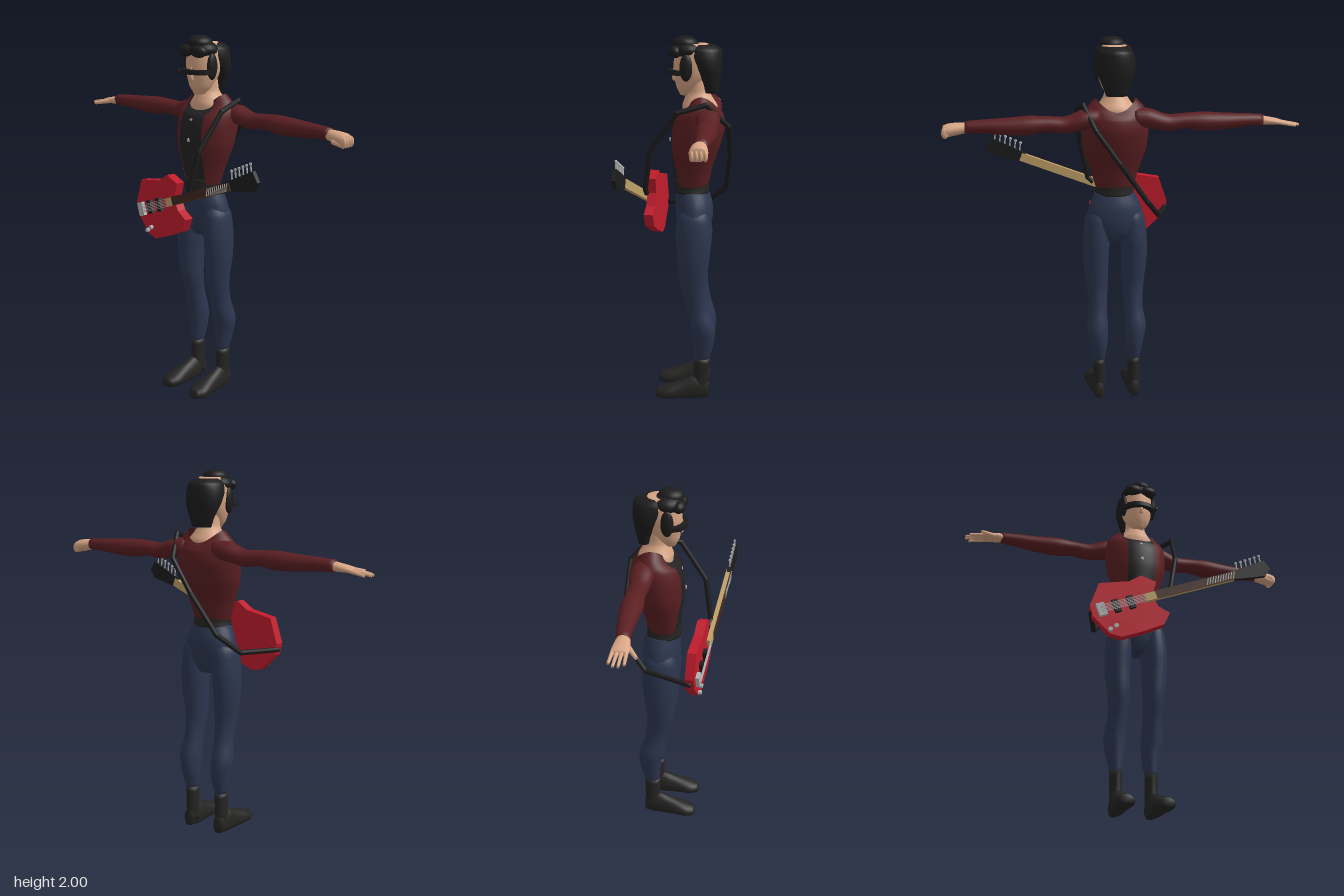
import * as THREE from 'three';

const paint = (name, color, side = THREE.FrontSide) => {
  const m = new THREE.MeshStandardMaterial({ color, side });
  m.name = name;
  return m;
};
const mats = {
  skin: paint('skin', 0xd8a685),
  black: paint('black', 0x1c1c1d),
  boot: paint('bootBlack', 0x252423),
  shirt: paint('shirtBlack', 0x222224, THREE.DoubleSide),
  jacket: paint('jacketRed', 0x5a1f22, THREE.DoubleSide),
  jeans: paint('denimBlue', 0x2c364f),
  red: paint('guitarRed', 0xc01c2c),
  wood: paint('mapleWood', 0xc0a068),
  brown: paint('rosewood', 0x422820),
  silver: paint('silver', 0xb4b4b4),
};

function add(parent, name, geo, mat, x = 0, y = 0, z = 0) {
  const mesh = new THREE.Mesh(geo, mat);
  mesh.name = name;
  mesh.position.set(x, y, z);
  parent.add(mesh);
  return mesh;
}
const box = (p, name, m, w, h, d, x, y, z) => add(p, name, new THREE.BoxGeometry(w, h, d), m, x, y, z);
function ball(p, name, m, rx, ry, rz, x, y, z) {
  return add(p, name, new THREE.SphereGeometry(1, 20, 14).scale(rx, ry, rz), m, x, y, z);
}
// Round bar between two points
function rod(p, name, m, a, b, r0, r1 = r0) {
  const A = new THREE.Vector3(...a), B = new THREE.Vector3(...b), d = B.clone().sub(A);
  const mesh = add(p, name, new THREE.CylinderGeometry(r1, r0, d.length(), 10), m);
  mesh.position.copy(A).addScaledVector(d, 0.5);
  mesh.quaternion.setFromUnitVectors(new THREE.Vector3(0, 1, 0), d.normalize());
  return mesh;
}

// Smooth skin through elliptical rings [x, y, z, ru, rv], listed upwards along the axis.
// Radii run z,x for axis y; y,z for axis x; x,y for axis z.
function loft(axis, rings, { range = null, warp = null, seg = 24 } = {}) {
  const [u, v] = { x: ['y', 'z'], y: ['z', 'x'], z: ['x', 'y'] }[axis];
  const centre = new THREE.CatmullRomCurve3(rings.map(r => new THREE.Vector3(r[0], r[1], r[2])));
  const radii = new THREE.CatmullRomCurve3(rings.map(r => new THREE.Vector3(r[3], r[4], 0)));
  const steps = (rings.length - 1) * 4, rows = [];
  for (let i = 0; i <= steps; i++) rows.push([centre.getPoint(i / steps), radii.getPoint(i / steps)]);
  if (!range) {
    rows.unshift([rows[0][0], new THREE.Vector3()]);
    rows.push([rows[rows.length - 1][0], new THREE.Vector3()]);
  }
  const pos = [], idx = [], cols = range ? seg + 1 : seg;
  rows.forEach(([c, r], i) => {
    const [a0, a1] = range ? range(c, r) : [0, Math.PI * 2];
    for (let j = 0; j < cols; j++) {
      const a = a0 + (a1 - a0) * j / seg, p = c.clone();
      p[u] += r.x * Math.cos(a);
      p[v] += r.y * Math.sin(a);
      if (warp) warp(p, a);
      pos.push(p.x, p.y, p.z);
      if (i < rows.length - 1 && j < seg) {
        const k = i * cols + j, l = i * cols + (j + 1) % cols;
        idx.push(k, l, k + cols, l, l + cols, k + cols);
      }
    }
  });
  const g = new THREE.BufferGeometry();
  g.setAttribute('position', new THREE.Float32BufferAttribute(pos, 3));
  g.setIndex(idx);
  g.computeVertexNormals();
  return g;
}

function buildTorso(man) {
  const rings = [[0, 1.18, -.065, .088, .095], [0, 1.30, -.072, .107, .13], [0, 1.42, -.085, .135, .17],
    [0, 1.52, -.1, .145, .178], [0, 1.60, -.11, .125, .172], [0, 1.65, -.12, .1, .145], [0, 1.69, -.12, .085, .105]];
  const opening = (c, r) => Math.asin(Math.min(.95, (c.y > 1.6 ? .09 : .078) / r.y));
  // neckline dips at chest and back
  const warp = (p, a) => { if (p.y > 1.58) p.y -= (p.y - 1.58) * .6 * Math.cos(a) ** 2; };
  add(man, 'jacket', loft('y', rings, { seg: 32, warp, range: (c, r) => [opening(c, r), Math.PI * 2 - opening(c, r)] }), mats.jacket);
  const inner = rings.map(([x, y, z, a, b]) => [x, y, z, a * .97, b * .97]);
  add(man, 'shirt', loft('y', inner, { seg: 12, warp, range: (c, r) => [-opening(c, r) - .15, opening(c, r) + .15] }), mats.shirt);
  add(man, 'neck', loft('y', [[0, 1.55, -.11, .09, .125], [0, 1.63, -.11, .094, .11], [0, 1.67, -.105, .078, .08],
    [0, 1.71, -.1, .06, .058], [0, 1.8, -.09, .058, .055]]), mats.skin);
  add(man, 'belt', loft('y', [[0, 1.165, -.068, .096, .108], [0, 1.2, -.067, .094, .102], [0, 1.235, -.067, .094, .106]]), mats.boot);
  add(man, 'hips', loft('y', [[0, .91, -.085, .06, .07], [0, .96, -.085, .085, .13], [0, 1.03, -.083, .1, .155],
    [0, 1.1, -.08, .102, .14], [0, 1.18, -.068, .09, .103]]), mats.jeans);
  // shirt print
  for (const [y, z, r] of [[1.555, .026, .012], [1.45, .047, .012]]) {
    const star = new THREE.Shape(Array.from({ length: 10 }, (_, i) => {
      const a = Math.PI / 2 + i * Math.PI / 5, d = i % 2 ? r * .45 : r;
      return new THREE.Vector2(d * Math.cos(a), d * Math.sin(a));
    }));
    add(man, 'shirtStar', new THREE.ExtrudeGeometry(star, { depth: .006, bevelEnabled: false }), mats.silver, 0, y, z);
  }
}

function buildHead(man) {
  add(man, 'head', loft('y', [[0, 1.69, -.035, .03, .028], [0, 1.73, -.045, .06, .06], [0, 1.79, -.062, .09, .083],
    [0, 1.86, -.07, .1, .092], [0, 1.92, -.075, .1, .088], [0, 1.96, -.08, .07, .06]]), mats.skin);
  add(man, 'nose', loft('y', [[0, 1.765, .02, .014, .014], [0, 1.785, .026, .014, .012], [0, 1.84, .022, .008, .007]]), mats.skin);
  add(man, 'hair', loft('y', [[0, 1.705, -.165, .037, .055], [0, 1.76, -.165, .048, .075], [0, 1.83, -.148, .078, .1],
    [0, 1.89, -.13, .098, .102], [0, 1.93, -.122, .1, .092], [0, 1.955, -.11, .075, .06]]), mats.black);
  ball(man, 'quiffBase', mats.black, .098, .05, .085, 0, 1.925, -.045);
  ball(man, 'quiffTop', mats.black, .066, .04, .068, .008, 1.96, -.03);
  for (const s of [-1, 1]) {
    ball(man, 'quiffRoll', mats.black, .052, .033, .035, s * .043, 1.92, .017);
    ball(man, 'sideburn', mats.black, .02, .07, .034, s * .087, 1.84, -.04);
    box(man, 'glassesArm', mats.black, .008, .014, .09, s * .094, 1.812, -.01);
  }
  add(man, 'glasses', new THREE.CylinderGeometry(1, 1, .024, 28).scale(.1, 1, .085), mats.black, 0, 1.812, -.025);
}

function buildLeg(man, s) {
  const leg = new THREE.Group();
  leg.name = s > 0 ? 'leftLeg' : 'rightLeg';
  leg.scale.x = s;
  man.add(leg);
  add(leg, 'trouserLeg', loft('y', [[.098, .22, -.13, .04, .031], [.1, .33, -.14, .06, .05], [.106, .42, -.134, .067, .06],
    [.1, .53, -.107, .063, .051], [.1, .65, -.083, .072, .059], [.106, .8, -.083, .086, .07],
    [.102, .92, -.082, .096, .073], [.094, 1.03, -.08, .09, .068], [.085, 1.09, -.08, .065, .045]]), mats.jeans);
  add(leg, 'bootShaft', loft('y', [[.098, .03, -.125, .045, .035], [.098, .13, -.13, .043, .033], [.098, .23, -.13, .045, .034]]), mats.boot);
  add(leg, 'bootFoot', loft('z', [[.1, .045, -.172, .028, .05], [.1, .05, -.1, .04, .075], [.104, .037, -.02, .045, .06],
    [.108, .026, .07, .056, .04], [.108, .02, .122, .034, .026]], { warp: p => { p.y = Math.max(p.y, 0); } }), mats.boot);
}

function buildArm(man, s) {
  const arm = new THREE.Group();
  arm.name = s > 0 ? 'leftArm' : 'rightArm';
  arm.scale.x = s;
  man.add(arm);
  add(arm, 'sleeve', loft('x', [[.09, 1.59, -.155, .052, .06], [.17, 1.585, -.158, .053, .064], [.27, 1.56, -.16, .044, .052],
    [.36, 1.567, -.162, .041, .05], [.46, 1.562, -.16, .05, .058], [.58, 1.56, -.16, .044, .05],
    [.7, 1.562, -.155, .035, .04], [.785, 1.56, -.15, .031, .034]]), mats.jacket);
  if (s > 0) {
    // closed fist
    add(arm, 'fist', loft('x', [[.77, 1.558, -.148, .026, .029], [.82, 1.552, -.145, .032, .04], [.87, 1.545, -.145, .034, .044],
      [.895, 1.54, -.145, .03, .04]]), mats.skin);
    for (let i = 0; i < 4; i++) ball(arm, 'knuckle', mats.skin, .019, .028, .0115, .885, 1.535, -.177 + i * .021);
    rod(arm, 'thumb', mats.skin, [.825, 1.535, -.11], [.885, 1.518, -.12], .014, .012);
  } else {
    // open hand
    add(arm, 'palm', loft('x', [[.77, 1.558, -.148, .026, .03], [.81, 1.555, -.147, .022, .038], [.87, 1.548, -.147, .016, .044],
      [.89, 1.545, -.148, .012, .04]]), mats.skin);
    for (let i = 0; i < 4; i++) {
      const z = -.18 + i * .021;
      rod(arm, 'finger', mats.skin, [.87, 1.548, z], [[.96, .985, .985, .965][i], 1.53, z - .008 + i * .004], .011, .007);
    }
    rod(arm, 'thumb', mats.skin, [.83, 1.55, -.12], [.905, 1.535, -.068], .014, .009);
  }
}

function buildGuitar(root) {
  const guitar = new THREE.Group();
  guitar.name = 'guitar';
  guitar.position.set(-.055, 1.075, .135);
  guitar.rotation.y = -.12;
  root.add(guitar);
  const outline = [[-.227, -.01], [-.21, -.075], [-.116, -.17], [-.053, -.185], [.063, -.143], [.18, -.09], [.212, -.02],
    [.148, .016], [.115, .08], [.138, .164], [.053, .196], [-.016, .153], [-.18, .127]];
  const shape = new THREE.Shape(outline.map(([x, y]) => new THREE.Vector2(x, y)));
  add(guitar, 'guitarBody', new THREE.ExtrudeGeometry(shape, { depth: .05, bevelEnabled: false }), mats.red, 0, 0, -.025);
  for (const [x, y] of [[-.115, -.148], [-.083, -.125]]) rod(guitar, 'knob', mats.silver, [x, y, .02], [x, y, .042], .012);

  // parts lined up with the neck
  const neck = new THREE.Group();
  neck.name = 'neckAssembly';
  neck.position.set(0, .023, .025);
  neck.rotation.z = .35;
  guitar.add(neck);
  box(neck, 'guitarNeck', mats.wood, .55, .046, .026, .355, 0, .012);
  box(neck, 'fretboard', mats.brown, .49, .047, .005, .385, 0, .0265);
  for (let i = 0; i < 11; i++) box(neck, 'fret', mats.silver, .005, .044, .003, .45 + i * .016, 0, .03).rotation.z = -.5;
  const head = new THREE.Shape([[.61, -.024], [.79, -.05], [.835, -.015], [.82, .045], [.61, .028]].map(p => new THREE.Vector2(...p)));
  add(neck, 'headstock', new THREE.ExtrudeGeometry(head, { depth: .02, bevelEnabled: false }), mats.black, 0, 0, .004);
  for (let i = 0; i < 6; i++) {
    const u = .645 + i * .03;
    rod(neck, 'tuningPeg', mats.silver, [u, .02, .014], [u + .012, .07 + i * .002, .014], .004);
    ball(neck, 'pegHead', mats.silver, .009, .008, .006, u + .012, .072 + i * .002, .014);
  }
  box(neck, 'bridge', mats.silver, .045, .075, .02, -.175, 0, .01);
  for (const u of [-.09, -.005]) {
    box(neck, 'pickup', mats.black, .034, .075, .02, u, 0, .01);
  }
  for (let i = 0; i < 6; i++) box(neck, 'string', mats.silver, .27, .003, .003, -.04, -.02 + i * .008, .023);
}

function buildStrap(root) {
  const path = [[.13, 1.17, .17], [.16, 1.2, .175], [.205, 1.42, .14], [.235, 1.62, 0], [.215, 1.66, -.15], [.16, 1.54, -.265],
    [.04, 1.37, -.275], [-.11, 1.155, -.25], [-.19, 1.05, -.14], [-.27, 1.03, .105]];
  const strap = new THREE.Group();
  strap.name = 'strap';
  root.add(strap);
  path.slice(1).forEach((p, i) => {
    rod(strap, 'strapPiece', mats.black, path[i], p, .014);
    ball(strap, 'strapJoint', mats.black, .014, .014, .014, ...p);
  });
}

export function createModel() {
  const root = new THREE.Group();
  root.name = 'guitarist';
  const man = new THREE.Group();
  man.name = 'figure';
  man.position.x = .041;
  root.add(man);
  buildTorso(man);
  buildHead(man);
  for (const s of [-1, 1]) {
    buildLeg(man, s);
    buildArm(man, s);
  }
  buildGuitar(root);
  buildStrap(root);
  return root;
}
